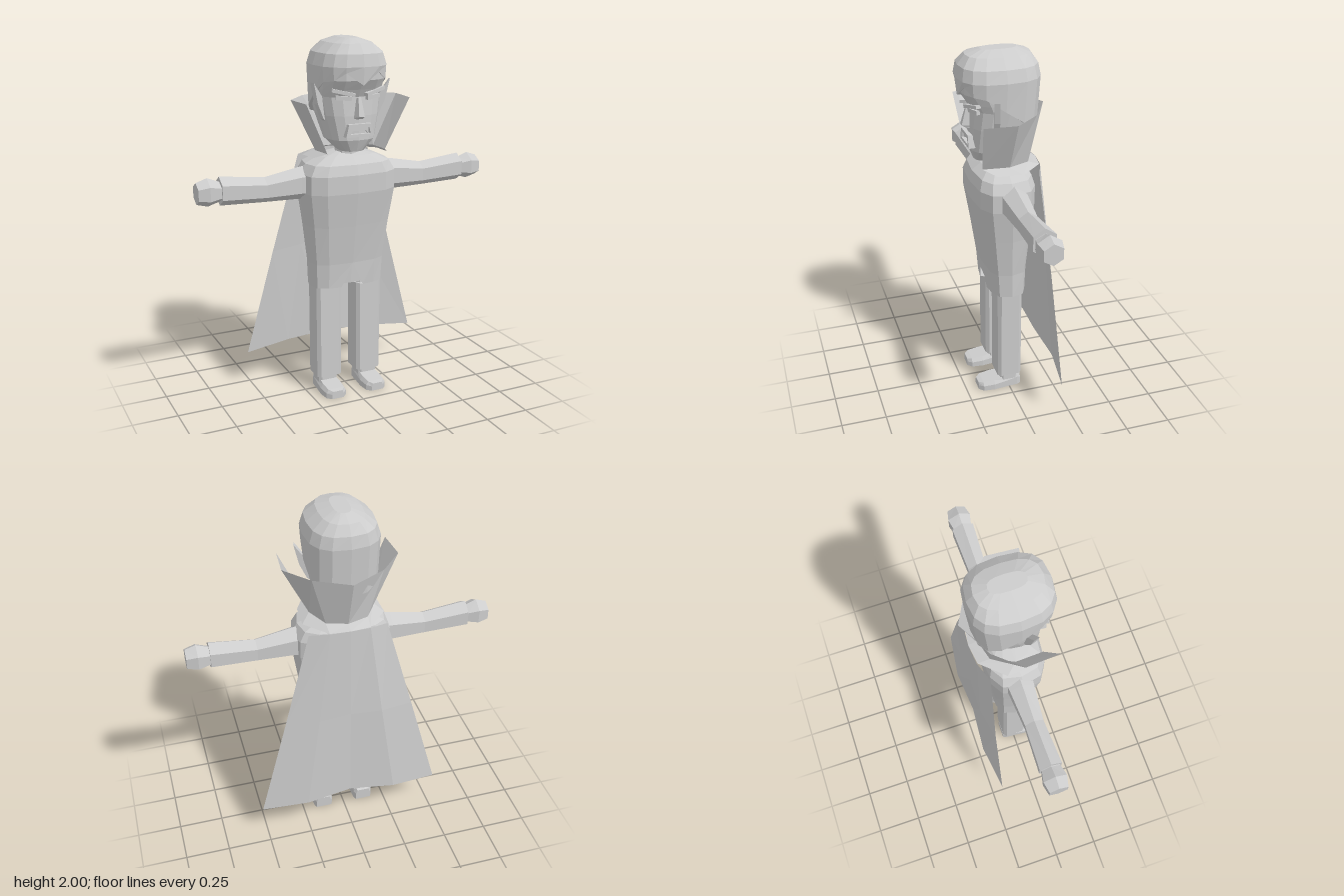
import * as THREE from 'three';

const grey = new THREE.MeshStandardMaterial({ color: 0xcccccc, flatShading: true, side: THREE.DoubleSide });
grey.name = 'grey';

// Flat-shaded skin across rows of points; caps close the first and last row
function loft(rows, caps = true) {
  const pos = [];
  const tri = (...pts) => pts.forEach((p) => pos.push(...p));
  for (let r = 0; r < rows.length - 1; r++) {
    const lo = rows[r], hi = rows[r + 1];
    for (let i = 0; i < lo.length - 1; i++) {
      tri(lo[i], lo[i + 1], hi[i + 1]);
      tri(lo[i], hi[i + 1], hi[i]);
    }
  }
  if (caps) {
    [rows[0], rows[rows.length - 1]].forEach((row, end) => {
      const n = row.length - 1;
      const mid = [0, 1, 2].map((k) => row.slice(0, n).reduce((s, p) => s + p[k], 0) / n);
      for (let i = 0; i < n; i++) end ? tri(mid, row[i], row[i + 1]) : tri(mid, row[i + 1], row[i]);
    });
  }
  const geo = new THREE.BufferGeometry();
  geo.setAttribute('position', new THREE.Float32BufferAttribute(pos, 3));
  geo.computeVertexNormals();
  return geo;
}

// Rounded-box ring at height y, from the front round by +x; last point repeats the first
function ring(y, w, front, back, n = 12, p = 0.65) {
  const soft = (v) => Math.sign(v) * Math.abs(v) ** p;
  const mid = (front + back) / 2, half = (front - back) / 2;
  return Array.from({ length: n + 1 }, (_, i) => {
    const t = (i / n) * Math.PI * 2;
    return [w * soft(Math.sin(t)), typeof y === 'function' ? y(i) : y, mid + half * soft(Math.cos(t))];
  });
}

// Hexagon across x with a point at the top
function hexRing([x, yc, ry, rz]) {
  return Array.from({ length: 7 }, (_, i) => {
    const t = (i / 6) * Math.PI * 2;
    return [x, yc + ry * Math.cos(t), (rz * Math.sin(t)) / 0.866];
  });
}

// Chamfered rectangle ring for legs
function legRing(y, x, w, d, c) {
  const half = [[w - c, d], [w, d - c], [w, c - d], [w - c, -d]];
  const pts = [...half, ...half.map(([a, b]) => [-a, -b])];
  return [...pts, pts[0]].map(([a, b]) => [x + a, y, b]);
}

function plate(points, depth, hole) {
  const v = (list) => list.map(([x, y]) => new THREE.Vector2(x, y));
  const shape = new THREE.Shape(v(points));
  if (hole) shape.holes.push(new THREE.Path(v(hole)));
  return new THREE.ExtrudeGeometry(shape, { depth, bevelEnabled: false });
}

export function createModel() {
  const model = new THREE.Group();
  const add = (name, geo, parent = model) => {
    const mesh = new THREE.Mesh(geo, grey);
    mesh.name = name;
    parent.add(mesh);
    return mesh;
  };

  // Coat, with a V notch at the front hem
  const coat = [
    [0.63, 0.215, 0.1, -0.11], [0.77, 0.22, 0.112, -0.115], [0.99, 0.245, 0.145, -0.135],
    [1.18, 0.273, 0.177, -0.155], [1.28, 0.272, 0.178, -0.155], [1.335, 0.24, 0.16, -0.14],
    [1.372, 0.16, 0.11, -0.1], [1.395, 0.06, 0.05, -0.05],
  ].map((r) => ring(...r));
  coat[0][0][0] = 0.065;
  coat[0][12][0] = -0.065;
  add('coat', loft(coat));
  add('hips', loft([ring(0.645, 0.195, 0.085, -0.085), ring(0.82, 0.2, 0.095, -0.09)]));
  add('neck', new THREE.CylinderGeometry(0.065, 0.07, 0.12, 8)).position.set(0, 1.4, 0.02);

  // Limbs and ears, built on the left and mirrored
  for (const side of [1, -1]) {
    const half = new THREE.Group();
    half.name = side > 0 ? 'leftSide' : 'rightSide';
    half.scale.x = side;
    model.add(half);

    add('sleeve', loft([
      [0.22, 1.23, 0.095, 0.072], [0.28, 1.228, 0.088, 0.066], [0.47, 1.212, 0.068, 0.05], [0.72, 1.23, 0.078, 0.06],
    ].map(hexRing)), half);
    add('hand', loft([
      [0.7, 1.228, 0.055, 0.047], [0.725, 1.228, 0.055, 0.05], [0.785, 1.23, 0.076, 0.063], [0.845, 1.228, 0.058, 0.05],
    ].map(hexRing)), half);

    add('leg', loft([legRing(0.09, 0.122, 0.074, 0.07, 0.018), legRing(0.68, 0.122, 0.076, 0.07, 0.018)]), half);
    add('ankle', loft([legRing(0.05, 0.125, 0.056, 0.052, 0.015), legRing(0.1, 0.125, 0.056, 0.052, 0.015)]), half);
    const shoe = [
      [-0.07, 0.045, 0.07], [-0.05, 0.055, 0.085], [0.0, 0.058, 0.07], [0.09, 0.067, 0.058], [0.155, 0.06, 0.05], [0.18, 0.035, 0.044],
    ].map(([z, w, h]) => [
      [w, 0], [w, h * 0.6], [w * 0.78, h], [-w * 0.78, h], [-w, h * 0.6], [-w, 0], [w, 0],
    ].map(([x, y]) => [0.125 + x, y, z]));
    add('shoe', loft(shoe), half);

    const ear = add('ear', plate([[0.15, 1.55], [0.19, 1.58], [0.228, 1.66], [0.255, 1.775], [0.2, 1.7], [0.16, 1.69]], 0.03), half);
    ear.position.set(-0.015, 0, 0.0);
    ear.rotation.y = -0.28;

    // Slanted brow and lower lid
    const brow = add('brow', new THREE.BoxGeometry(0.125, 0.018, 0.03), half);
    brow.position.set(0.09, 1.727, 0.178);
    brow.rotation.set(0, 0.28, 0.22);
    const eye = add('eyelid', new THREE.BoxGeometry(0.085, 0.022, 0.02), half);
    eye.position.set(0.085, 1.697, 0.168);
    eye.rotation.set(0, 0.28, 0.08);

    add('fang', plate([[0.03, 1.538], [0.056, 1.538], [0.05, 1.505]], 0.012), half).position.z = 0.172;
  }

  // Face, from chin up to forehead
  add('face', loft([
    [1.405, 0.065, 0.15, -0.03], [1.47, 0.13, 0.177, -0.08], [1.6, 0.163, 0.178, -0.14], [1.7, 0.18, 0.172, -0.17],
    [1.74, 0.185, 0.195, -0.178], [1.79, 0.188, 0.228, -0.185], [1.88, 0.188, 0.232, -0.19],
  ].map((r) => ring(...r, 16, 0.75))));

  // Hair cap with a widow's peak
  const hairline = [1.765, 1.83, 1.79, 1.78, 1.71, 1.64, 1.6, 1.58, 1.57];
  const hem = (i) => hairline[Math.min(i, 16 - i)];
  add('hair', loft([
    [hem, 0.175, 0.21, -0.165], [hem, 0.191, 0.233, -0.182], [1.86, 0.196, 0.241, -0.202], [1.925, 0.175, 0.23, -0.19],
    [1.975, 0.115, 0.19, -0.155], [2.0, 0.045, 0.11, -0.085],
  ].map((r) => ring(...r, 16, 0.75))));

  // Nose wedge
  add('nose', loft([
    [1.585, 0.035, 0.19], [1.6, 0.033, 0.215], [1.695, 0.016, 0.188],
  ].map(([y, w, z]) => [[w * 0.5, y, z], [w, y, 0.15], [-w, y, 0.15], [-w * 0.5, y, z], [w * 0.5, y, z]])));

  // Mouth frame with teeth behind it
  add('lips', plate(
    [[-0.082, 1.492], [0.082, 1.492], [0.066, 1.56], [-0.066, 1.56]], 0.045,
    [[-0.06, 1.507], [-0.052, 1.542], [0.052, 1.542], [0.06, 1.507]],
  )).position.z = 0.152;
  add('teeth', new THREE.BoxGeometry(0.1, 0.02, 0.02)).position.set(0, 1.533, 0.176);

  // Open surfaces mirrored across x: give the left half, centre point last
  const mirrorRow = (row) => [...row, ...row.slice(0, -1).reverse().map(([x, y, z]) => [-x, y, z])];
  const collarBase = mirrorRow([[0.17, 1.405, 0.15], [0.175, 1.4, 0], [0.115, 1.395, -0.12], [0, 1.39, -0.15]]);
  const collarTop = mirrorRow([[0.3, 1.68, 0.18], [0.313, 1.68, 0], [0.19, 1.68, -0.14], [0, 1.68, -0.24]]);
  add('collar', loft([collarBase, collarTop], false));

  const mantleEdge = mirrorRow([[0.22, 1.375, 0.08], [0.225, 1.37, -0.06], [0.11, 1.37, -0.185], [0, 1.375, -0.2]]);
  add('mantle', loft([mantleEdge, collarBase], false));

  add('cape', loft([
    mirrorRow([[0.525, 0.205, -0.195], [0.26, 0.225, -0.232], [0, 0.25, -0.212]]),
    mirrorRow([[0.365, 0.8, -0.178], [0.18, 0.81, -0.212], [0, 0.82, -0.207]]),
    mirrorRow([[0.215, 1.355, -0.15], [0.11, 1.37, -0.19], [0, 1.375, -0.2]]),
  ], false));

  return model;
}
